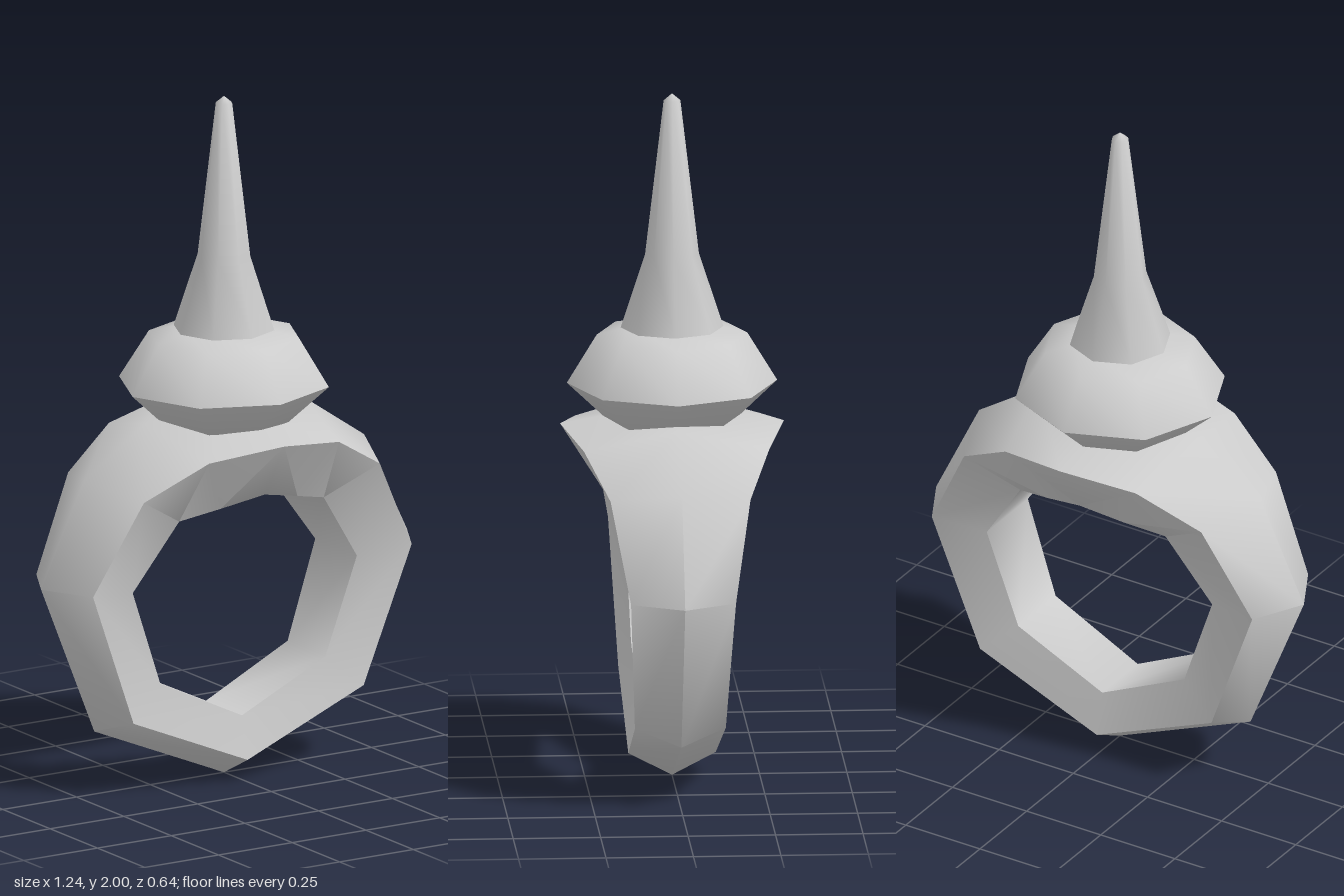
import * as THREE from 'three';
import { toCreasedNormals } from 'three/addons/utils/BufferGeometryUtils.js';

const CREASE = 1.08;

// Half of the band, bottom to top:
// [outer ridge x, y,  shoulder x, y, z,  inner edge x, y, z]
const STATIONS = [
  [0, 0, 0, 0.065, 0.125, 0, 0.19, 0.095],
  [0.44, 0.185, 0.39, 0.23, 0.13, 0.28, 0.325, 0.1],
  [0.62, 0.63, 0.54, 0.63, 0.15, 0.38, 0.61, 0.11],
  [0.475, 0.93, 0.4, 0.9, 0.2, 0.245, 0.81, 0.145],
  [0.27, 1.07, 0.22, 1.005, 0.265, 0.13, 0.84, 0.185],
  [0, 1.09, 0, 1.036, 0.32, 0, 0.87, 0.215],
];

// Five-sided cross-section of the band, on the given side of x
function section([ox, oy, sx, sy, sz, ix, iy, iz], side) {
  return [
    [ox * side, oy, 0],
    [sx * side, sy, sz],
    [ix * side, iy, iz],
    [ix * side, iy, -iz],
    [sx * side, sy, -sz],
  ];
}

function bandGeometry() {
  const loops = STATIONS.map((s) => section(s, 1));
  for (let i = STATIONS.length - 2; i > 0; i--) loops.push(section(STATIONS[i], -1));
  const index = [];
  const n = loops.length;
  for (let i = 0; i < n; i++) {
    for (let j = 0; j < 5; j++) {
      const a = i * 5 + j;
      const b = ((i + 1) % n) * 5 + j;
      const c = i * 5 + ((j + 1) % 5);
      const d = ((i + 1) % n) * 5 + ((j + 1) % 5);
      // mirror the diagonals so both halves match
      if (i < n / 2) index.push(a, b, c, b, d, c);
      else index.push(a, b, d, a, d, c);
    }
  }
  const g = new THREE.BufferGeometry();
  g.setAttribute('position', new THREE.Float32BufferAttribute(loops.flat(2), 3));
  g.setIndex(index);
  return toCreasedNormals(g, CREASE);
}

// Eight-sided turned part from a bottom-to-top profile of [radius, y]
function turned(profile) {
  const g = new THREE.LatheGeometry(profile.map(([r, y]) => new THREE.Vector2(r, y)), 8);
  return toCreasedNormals(g, CREASE);
}

export function createModel() {
  const metal = new THREE.MeshStandardMaterial({ color: 0xcccccc });
  metal.name = 'grey metal';
  const group = new THREE.Group();
  group.name = 'spikedRing';
  const add = (name, geometry) => {
    const mesh = new THREE.Mesh(geometry, metal);
    mesh.name = name;
    group.add(mesh);
    return mesh;
  };

  add('band', bandGeometry());

  // Faceted collar, slightly narrower front to back
  const collar = add('collar', turned([
    [0, 1.03], [0.19, 1.045], [0.31, 1.155], [0.222, 1.295], [0.13, 1.317], [0, 1.317],
  ]));
  collar.scale.z = 0.97;

  // Tapering spike with a small pointed cap
  add('spike', turned([[0, 1.3], [0.147, 1.315], [0.077, 1.53], [0.024, 1.98], [0, 2]]));

  return group;
}
